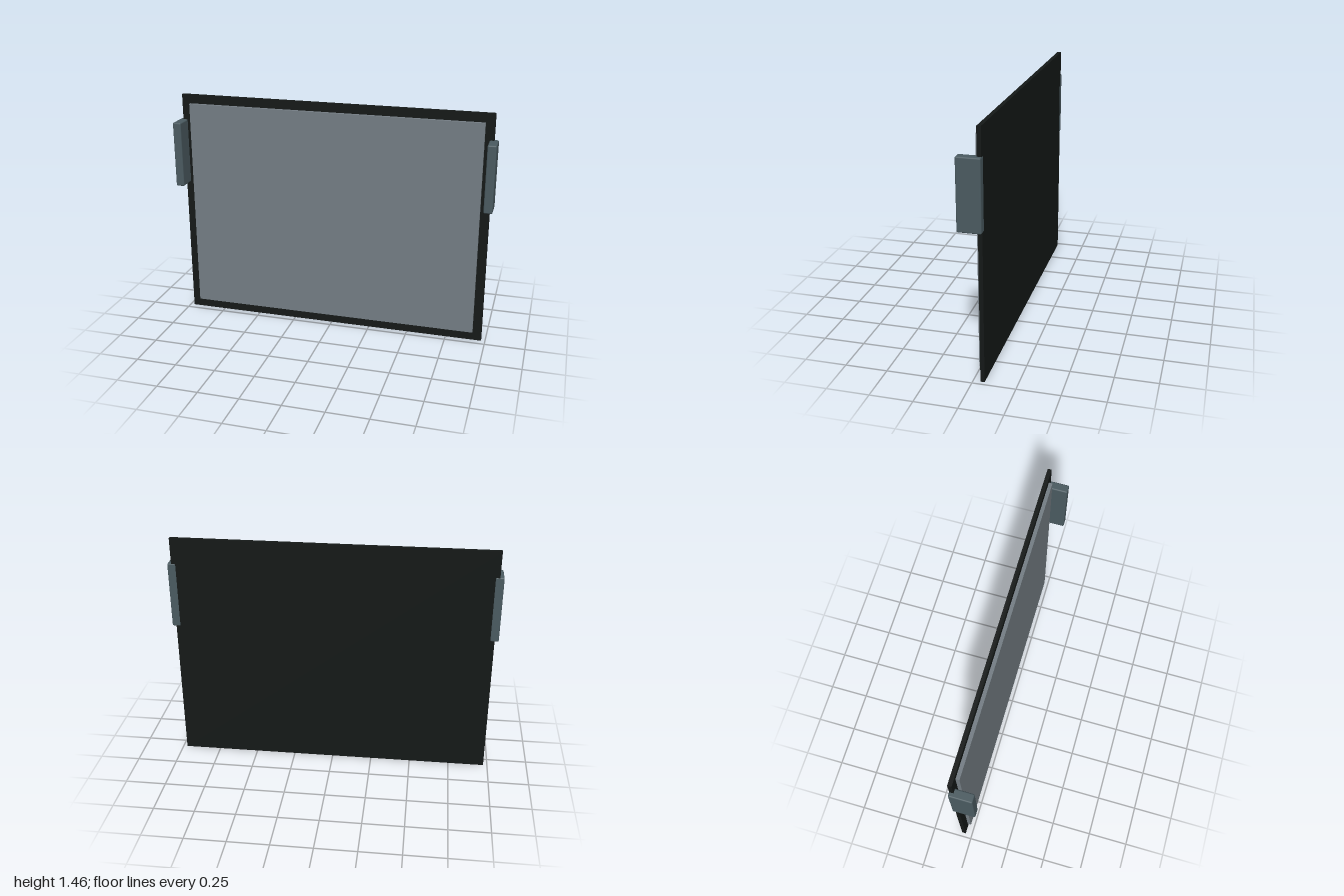
import * as THREE from 'three';
import { RoundedBoxGeometry } from 'three/addons/geometries/RoundedBoxGeometry.js';

const PANEL_W = 1.95, PANEL_H = 1.46;
const SCREEN_W = 1.84, SCREEN_H = 1.345;
const BACK_Z = -0.066, PANEL_FRONT_Z = -0.042, SCREEN_FRONT_Z = -0.02;

function addMesh(group, name, geometry, color, x, y, z) {
  const mesh = new THREE.Mesh(geometry, new THREE.MeshStandardMaterial({ color }));
  mesh.name = name;
  mesh.position.set(x, y, z);
  group.add(mesh);
  return mesh;
}

export function createModel() {
  const group = new THREE.Group();
  group.name = 'wallPanel';

  // Dark backing board, visible as a border around the screen
  const panelDepth = PANEL_FRONT_Z - BACK_Z;
  addMesh(group, 'backPanel', new THREE.BoxGeometry(PANEL_W, PANEL_H, panelDepth),
    0x141817, 0, PANEL_H / 2, BACK_Z + panelDepth / 2);

  // Raised grey screen
  const screenDepth = SCREEN_FRONT_Z - PANEL_FRONT_Z;
  addMesh(group, 'screen', new THREE.BoxGeometry(SCREEN_W, SCREEN_H, screenDepth),
    0x737c83, 0, 0.06 + SCREEN_H / 2, PANEL_FRONT_Z + screenDepth / 2);

  // Softly bevelled grips straddling both side edges
  for (const side of [-1, 1]) {
    addMesh(group, side > 0 ? 'leftGrip' : 'rightGrip',
      new RoundedBoxGeometry(0.053, 0.412, 0.136, 3, 0.008),
      0x4a5a60, side * 0.9735, 1.094, 0);
  }
  return group;
}
